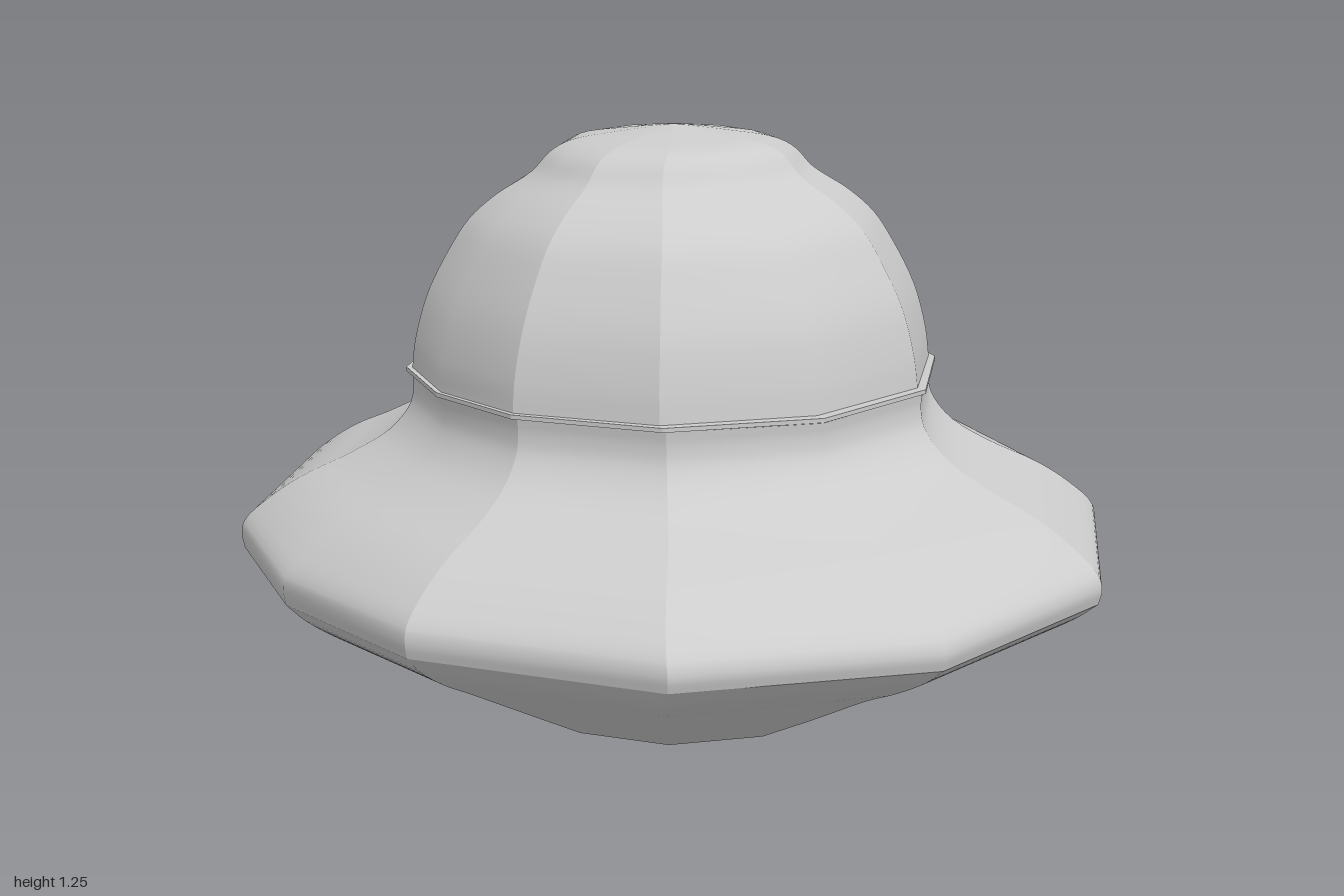
import * as THREE from 'three';
import { mergeGeometries } from 'three/addons/utils/BufferGeometryUtils.js';

// Twelve-sided outline, starting at +z and turning towards +x
const quarter = [[0, 1], [0.557, 0.84], [0.918, 0.42]];
const outline = [
  ...quarter, [1, 0],
  ...quarter.slice(1).reverse().map(([x, z]) => [x, -z]),
  ...quarter.map(([x, z]) => [-x, -z]), [-1, 0],
  ...quarter.slice(1).reverse().map(([x, z]) => [-x, z]),
];

// Panels bounded by hard vertical edges
const singlePanels = outline.map((_, i) => [i, i + 1]);
const softPanels = [[11, 12, 13], [1, 2], [2, 3, 4], [4, 5], [5, 6, 7], [7, 8], [8, 9, 10], [10, 11]];

// One panel: smooth up the profile, made of rings [half width x, y, half depth z]
function panel(rings, corners) {
  const pos = [], index = [], n = corners.length;
  for (const [rx, y, rz] of rings) {
    for (const c of corners) {
      const [x, z] = outline[c % 12];
      pos.push(x * rx, y, z * rz);
    }
  }
  for (let i = 0; i < rings.length - 1; i++) {
    for (let j = 0; j < n - 1; j++) {
      const a = i * n + j, b = a + n;
      index.push(a, a + 1, b + 1, a, b + 1, b);
    }
  }
  const g = new THREE.BufferGeometry();
  g.setAttribute('position', new THREE.Float32BufferAttribute(pos, 3));
  g.setIndex(index);
  g.computeVertexNormals();
  return g;
}

const shell = (rings, panels) => mergeGeometries(panels.map((p) => panel(rings, p)));

// Round off a few profile points
function smooth(points, steps) {
  const curve = new THREE.CatmullRomCurve3(points.map((p) => new THREE.Vector3(...p)));
  return curve.getPoints(steps).map((v) => v.toArray());
}

export function createModel() {
  const group = new THREE.Group();
  const grey = new THREE.MeshStandardMaterial({ color: 0xcccccc });
  grey.name = 'light grey';
  const add = (name, geometry) => {
    const mesh = new THREE.Mesh(geometry, grey);
    mesh.name = name;
    group.add(mesh);
  };

  // Flat base and flared underside
  add('base', shell([[0, 0, 0], [0.35, 0, 0.37]], singlePanels));
  add('underside', shell(smooth([
    [0.35, 0, 0.37], [0.53, 0.1, 0.56], [0.71, 0.2, 0.745],
    [0.8, 0.25, 0.85], [0.87, 0.3, 0.94], [0.91, 0.34, 0.993],
  ], 20), singlePanels));

  // Sloping brim rising to the neck
  add('brim', shell(smooth([
    [0.91, 0.34, 0.993], [0.915, 0.37, 1], [0.91, 0.4, 0.99], [0.86, 0.45, 0.93],
    [0.785, 0.5, 0.85], [0.68, 0.55, 0.74], [0.595, 0.605, 0.64],
    [0.555, 0.66, 0.592], [0.548, 0.7, 0.582], [0.55, 0.73, 0.583],
  ], 32), softPanels));

  // Thin lip around the neck, with the ledge the dome rests on
  const lip = [[0.55, 0.731, 0.575], [0.565, 0.731, 0.585], [0.565, 0.74, 0.585], [0, 0.74, 0]];
  add('lip', mergeGeometries(lip.slice(1).map((r, i) => shell([lip[i], r], singlePanels))));

  // Dome with a small raised crown
  add('dome', shell(smooth([
    [0.555, 0.738, 0.56], [0.548, 0.8, 0.55], [0.52, 0.9, 0.523], [0.47, 1.0, 0.47],
    [0.43, 1.06, 0.43], [0.375, 1.11, 0.37], [0.3, 1.16, 0.285], [0.262, 1.2, 0.25],
    [0.22, 1.222, 0.22], [0.12, 1.24, 0.12], [0, 1.255, 0],
  ], 40), softPanels));

  return group;
}
